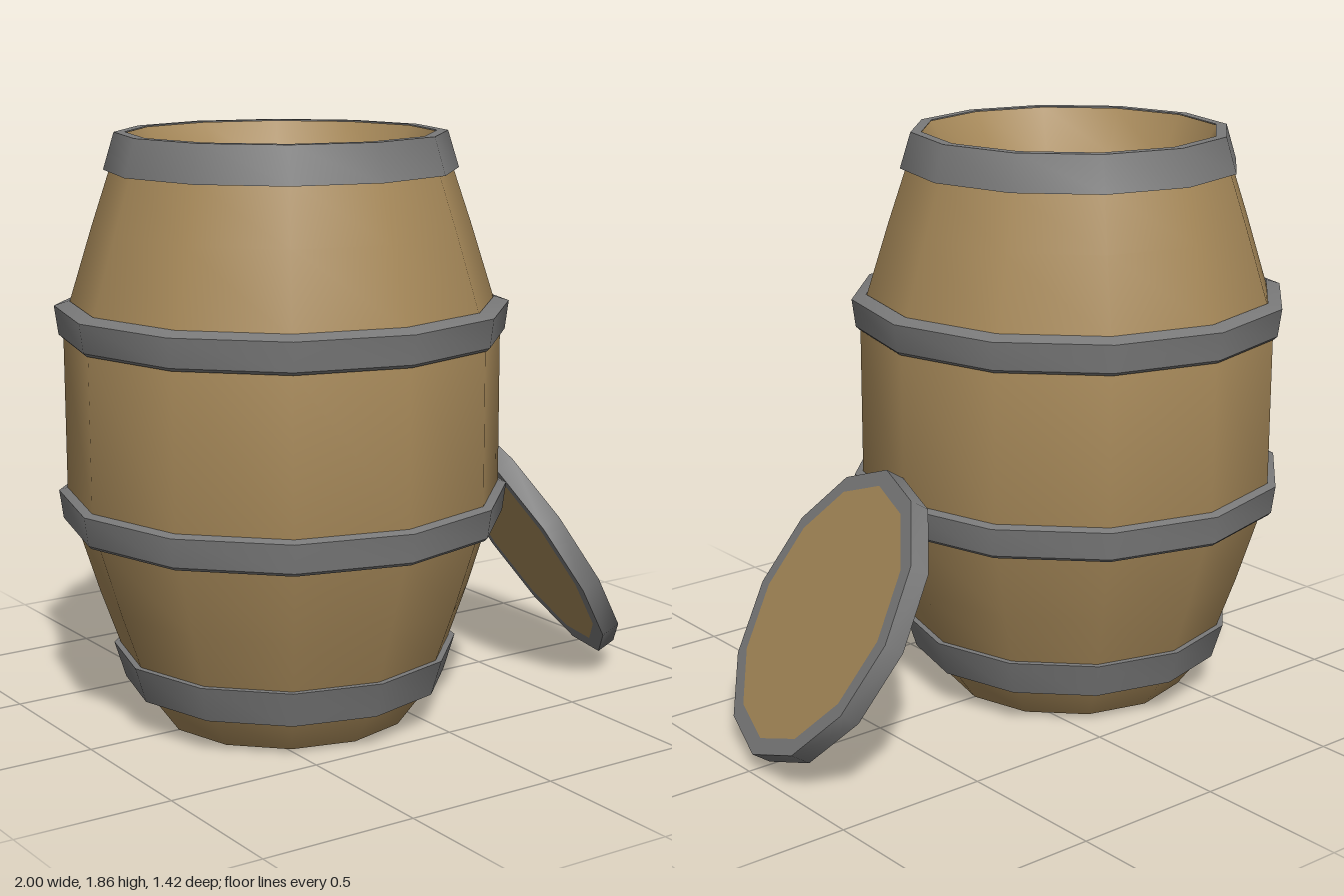
import * as THREE from 'three';
import { toCreasedNormals } from 'three/addons/utils/BufferGeometryUtils.js';

const SIDES = 12;

function material(name, color, side = THREE.FrontSide) {
  const m = new THREE.MeshStandardMaterial({ color, side });
  m.name = name;
  return m;
}

// Twelve-sided turned part: smooth around, sharp at strong profile bends
function turned(name, profile, mat) {
  const points = profile.map(([r, y]) => new THREE.Vector2(r, y));
  const geometry = toCreasedNormals(new THREE.LatheGeometry(points, SIDES), 0.6);
  const mesh = new THREE.Mesh(geometry, mat);
  mesh.name = name;
  return mesh;
}

function disc(name, radius, y, mat, up = true) {
  const geometry = new THREE.CircleGeometry(radius, SIDES);
  geometry.rotateX(up ? -Math.PI / 2 : Math.PI / 2);
  geometry.translate(0, y, 0);
  const mesh = new THREE.Mesh(geometry, mat);
  mesh.name = name;
  return mesh;
}

export function createModel() {
  const wood = material('wood', 0xa88a5a, THREE.DoubleSide);
  const iron = material('iron', 0x7a7a7a, THREE.DoubleSide);
  const dark = material('darkInside', 0x0e0e0e, THREE.DoubleSide);

  const model = new THREE.Group();
  model.name = 'openBarrel';

  // Barrel
  const barrel = new THREE.Group();
  barrel.name = 'barrel';
  barrel.position.x = -0.29;
  model.add(barrel);

  // Staves, open at the bottom
  barrel.add(turned('staves', [
    [0.40, 0], [0.485, 0.115], [0.53, 0.23], [0.59, 0.40], [0.665, 0.64], [0.685, 0.74],
    [0.685, 1.23], [0.665, 1.33], [0.59, 1.57], [0.53, 1.75], [0.49, 1.855],
  ], wood));

  // Sloping inner rim and the dark contents
  barrel.add(turned('innerRim', [[0.482, 1.857], [0.40, 1.715]], wood));
  barrel.add(disc('contents', 0.40, 1.715, dark));

  // Tapered end hoops
  barrel.add(turned('topHoop', [
    [0.52, 1.745], [0.55, 1.745], [0.515, 1.86], [0.48, 1.86],
  ], iron));
  barrel.add(turned('bottomHoop', [
    [0.478, 0.115], [0.515, 0.115], [0.55, 0.23], [0.52, 0.23], [0.478, 0.115],
  ], iron));

  // Two matching belly hoops
  for (const [name, y] of [['lowerBellyHoop', 0.635], ['upperBellyHoop', 1.225]]) {
    const hoop = turned(name, [
      [0.66, 0], [0.69, 0], [0.70, 0.01], [0.712, 0.10], [0.665, 0.115],
    ], iron);
    hoop.position.y = y;
    barrel.add(hoop);
  }

  // Lid leaning against the barrel
  const lid = new THREE.Group();
  lid.name = 'lid';
  const R = 0.485, r = 0.43, h = 0.0325;
  lid.add(turned('lidBand', [[r, -h], [R, -h], [R, h], [r, h]], iron));
  lid.add(disc('lidOuterFace', r, h, wood));
  lid.add(disc('lidInnerFace', r, -h, wood, false));

  const normal = new THREE.Vector3(0.815, 0.53, 0.235).normalize();
  const slope = new THREE.Vector3(-normal.y, normal.x, 0).normalize();
  const across = new THREE.Vector3().crossVectors(slope, normal);
  lid.quaternion.setFromRotationMatrix(new THREE.Matrix4().makeBasis(slope, normal, across));
  lid.position.set(0.69, 0.4375, 0);
  model.add(lid);

  return model;
}
